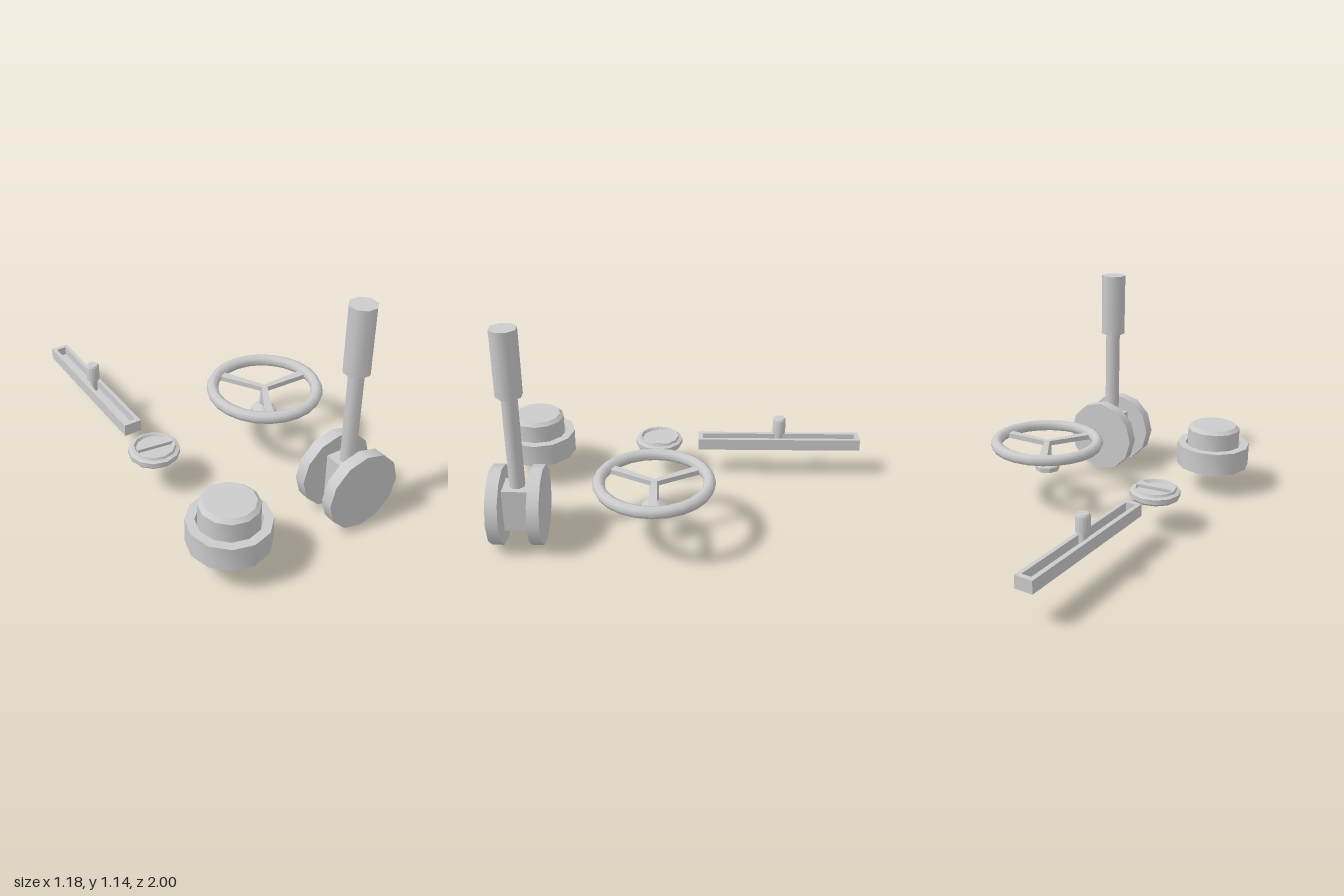
import * as THREE from 'three';
import { toCreasedNormals } from 'three/addons/utils/BufferGeometryUtils.js';

const material = new THREE.MeshStandardMaterial({ color: 0xcccccc });
const openMaterial = new THREE.MeshStandardMaterial({ color: 0xcccccc, side: THREE.DoubleSide });

function add(parent, name, geometry, x = 0, y = 0, z = 0, mat = material) {
  const mesh = new THREE.Mesh(geometry, mat);
  mesh.name = name;
  mesh.position.set(x, y, z);
  parent.add(mesh);
  return mesh;
}

function control(root, name, x, z) {
  const group = new THREE.Group();
  group.name = name;
  group.position.set(x, 0, z);
  root.add(group);
  return group;
}

// Profile of [radius, height] pairs turned round y, with sharp edges kept
function turned(profile, sides) {
  const points = profile.map(([r, y]) => new THREE.Vector2(r, y));
  return toCreasedNormals(new THREE.LatheGeometry(points, sides), 0.6);
}

// Upright octagonal rod with flats facing the axes
function rod(halfWidth, height) {
  const r = halfWidth / Math.cos(Math.PI / 8);
  return new THREE.CylinderGeometry(r, r, height, 8).rotateY(Math.PI / 8);
}

function pushButton(root) {
  const g = control(root, 'pushButton', -0.39, 0.795);
  add(g, 'buttonCollar', turned(
    [[0.155, 0.142], [0.2, 0.142], [0.2, 0.265], [0.155, 0.265], [0.155, 0.142]], 12));
  add(g, 'buttonCap', turned(
    [[0.143, 0.2], [0.143, 0.353], [0.123, 0.371], [0, 0.371]], 12), 0, 0, 0, openMaterial);
}

function lever(root) {
  const g = control(root, 'lever', 0.282, 0.796);
  for (const side of [1, -1]) {
    const disc = new THREE.CylinderGeometry(0.202, 0.202, 0.061, 12).rotateX(Math.PI / 2);
    add(g, 'leverDisc', disc, 0, 0.203, side * 0.1);
  }
  add(g, 'leverBlock', new THREE.BoxGeometry(0.135, 0.225, 0.14), 0, 0.203, 0);
  add(g, 'leverShaft', rod(0.037, 0.52), 0, 0.56, 0);
  add(g, 'leverGrip', rod(0.062, 0.338), 0, 0.977, 0);
}

function handwheel(root) {
  const g = control(root, 'handwheel', 0.281, 0.12);
  add(g, 'wheelRim', new THREE.TorusGeometry(0.274, 0.031, 8, 24).rotateX(Math.PI / 2), 0, 0.339, 0);
  // Flared foot and stem
  add(g, 'wheelStem', turned([[0, 0.182], [0.066, 0.182], [0.066, 0.208], [0.045, 0.225],
    [0.023, 0.24], [0.023, 0.325], [0.015, 0.345], [0, 0.348]], 8));
  // Spokes widen from the hub to the rim
  for (let i = 0; i < 3; i++) {
    const bar = new THREE.BoxGeometry(0.262, 0.026, 0.046).translate(0.131, 0, 0);
    const p = bar.attributes.position;
    for (let k = 0; k < p.count; k++) if (p.getX(k) < 0.01) p.setZ(k, p.getZ(k) * 0.6);
    bar.computeVertexNormals();
    add(g, 'wheelSpoke', bar, 0, 0.334, 0).rotation.y = i * Math.PI * 2 / 3;
  }
}

function dial(root) {
  const g = control(root, 'dial', -0.39, 0.12);
  add(g, 'dialBody', turned([[0, 0.182], [0.122, 0.182], [0.13, 0.192], [0.13, 0.217], [0.112, 0.224],
    [0.107, 0.236], [0.1, 0.236], [0.092, 0.222], [0, 0.222]], 12));
  // Wedge pointer across the recessed face
  const wedge = new THREE.Shape([[-0.092, 0], [0.098, -0.025], [0.098, 0.025]]
    .map(([x, y]) => new THREE.Vector2(x, y)));
  const pointer = new THREE.ExtrudeGeometry(wedge, { depth: 0.025, bevelEnabled: false });
  add(g, 'dialPointer', pointer.rotateX(-Math.PI / 2), 0, 0.214, 0);
}

function slider(root) {
  const g = control(root, 'slider', -0.39, -0.55);
  const rectangle = (Type, w, h) => new Type([[-w, -h], [w, -h], [w, h], [-w, h]]
    .map(([x, y]) => new THREE.Vector2(x, y)));
  // Slotted track
  const outline = rectangle(THREE.Shape, 0.047, 0.45);
  outline.holes.push(rectangle(THREE.Path, 0.026, 0.425));
  const track = new THREE.ExtrudeGeometry(outline, { depth: 0.064, bevelEnabled: false });
  add(g, 'sliderTrack', track.rotateX(-Math.PI / 2), 0, 0.172, 0);
  add(g, 'trackFloor', new THREE.BoxGeometry(0.054, 0.018, 0.852), 0, 0.1812, 0);
  // Peg on a narrower stem
  add(g, 'sliderPeg', turned([[0, 0.188], [0.02, 0.188], [0.02, 0.262], [0.035, 0.262],
    [0.035, 0.343], [0.028, 0.353], [0, 0.353]], 12));
}

export function createModel() {
  const model = new THREE.Group();
  model.name = 'controlSet';
  pushButton(model);
  lever(model);
  handwheel(model);
  dial(model);
  slider(model);
  return model;
}
